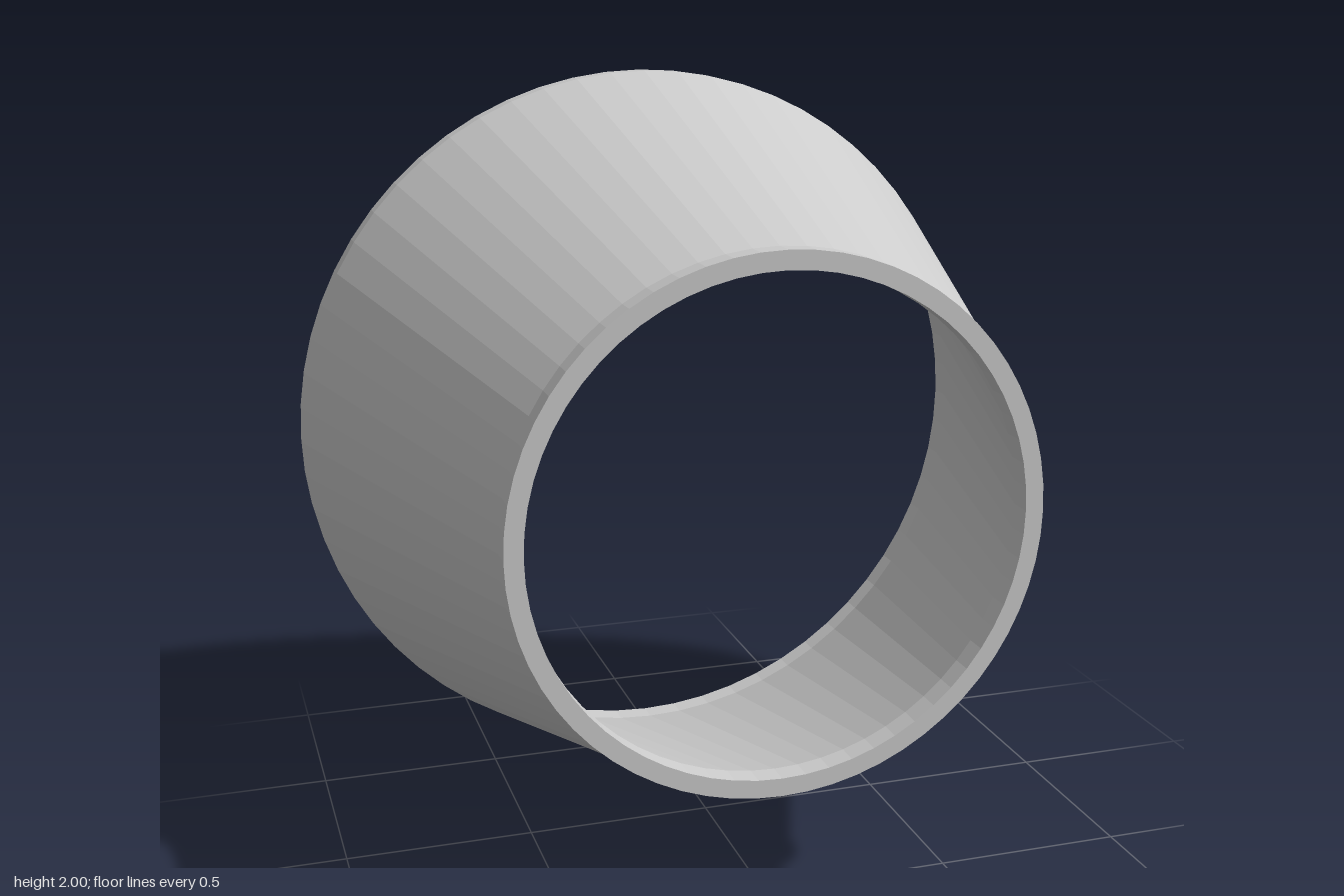
import * as THREE from 'three';

// Hollow concentric pipe reducer: a cone with a short straight collar at each end
export function createModel() {
  const group = new THREE.Group();
  group.name = 'pipeReducer';

  const halfLength = 0.625, collar = 0.06, wall = 0.047;
  const backRadius = 1, frontRadius = 0.675;

  // Closed wall section: outside from back to front, then inside from front to back
  const section = [
    [backRadius, -halfLength],
    [backRadius, -halfLength + collar],
    [frontRadius, halfLength - collar],
    [frontRadius, halfLength],
    [frontRadius - wall, halfLength],
    [frontRadius - wall, halfLength - collar],
    [backRadius - wall, -halfLength + collar],
    [backRadius - wall, -halfLength],
    [backRadius, -halfLength],
  ].map(([r, z]) => new THREE.Vector2(r, z));

  const geometry = new THREE.LatheGeometry(section, 64);
  geometry.rotateX(Math.PI / 2); // lay the axis along z, narrow end to the front

  const material = new THREE.MeshStandardMaterial({ color: 0xcccccc, flatShading: true });
  const body = new THREE.Mesh(geometry, material);
  body.name = 'reducerBody';
  body.position.y = backRadius;
  group.add(body);
  return group;
}
